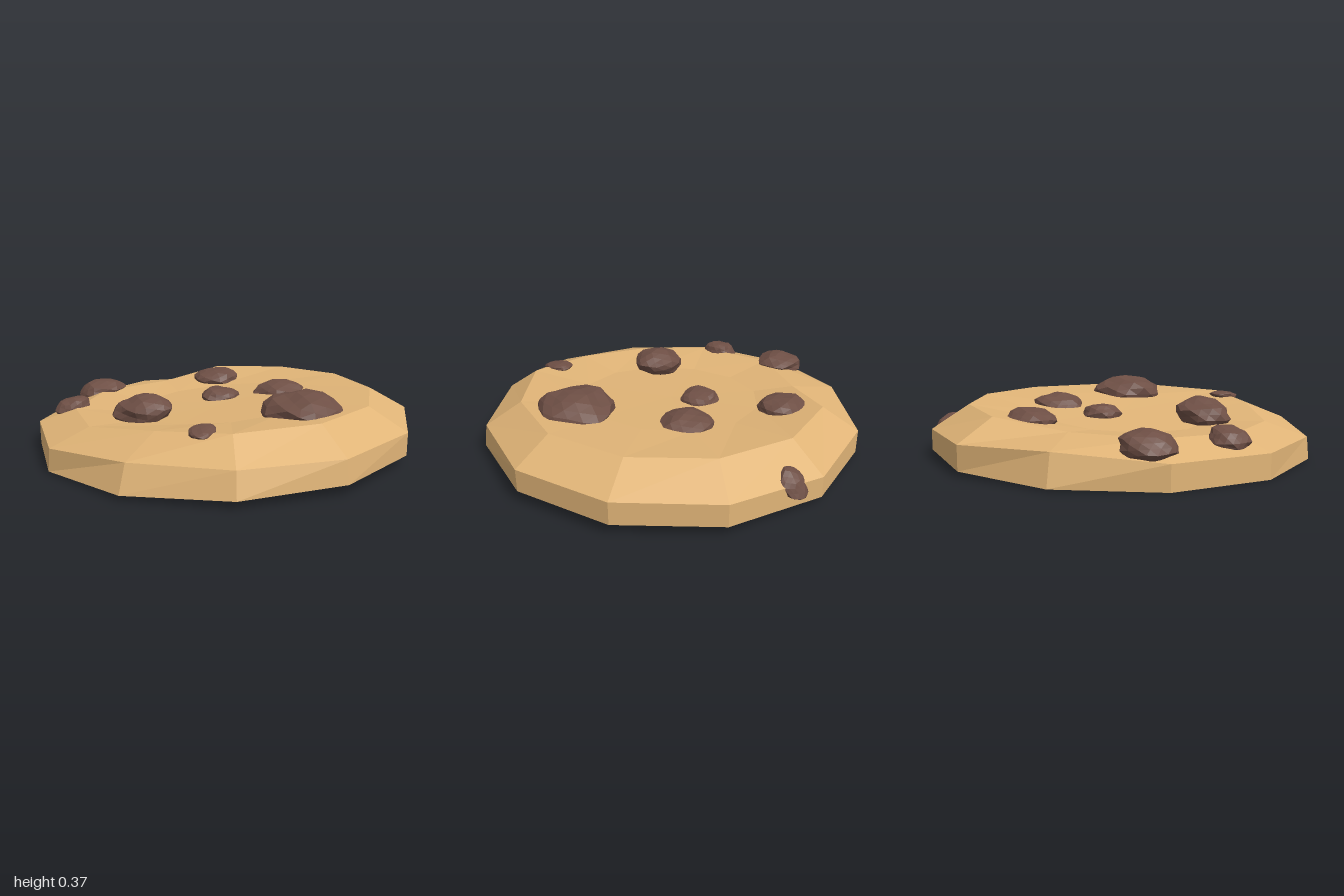
import * as THREE from 'three';

const SIDES = 12;
const doughMaterial = new THREE.MeshStandardMaterial({ color: 0xe0b477, flatShading: true });
const chipMaterial = new THREE.MeshStandardMaterial({ color: 0x6e4f45, flatShading: true });

// Corners run from the left-front side (15 degrees) round the front, right and back.
// [x, y, z] of the raised rim
const RIM = [
  [0.8, 0.295, 0.22], [0.59, 0.29, 0.58], [0.21, 0.28, 0.8], [-0.18, 0.25, 0.73],
  [-0.58, 0.2, 0.56], [-0.8, 0.195, 0.22], [-0.8, 0.2, -0.22], [-0.5, 0.21, -0.53],
  [-0.22, 0.265, -0.81], [0.21, 0.28, -0.81], [0.58, 0.29, -0.6], [0.8, 0.295, -0.22],
];
// Height and inward scale of the shoulder below the rim
const SHOULDER_Y = [0.18, 0.17, 0.165, 0.16, 0.125, 0.125, 0.125, 0.165, 0.15, 0.15, 0.17, 0.18];
const SHOULDER_SCALE = [1, 0.985, 0.96, 0.945, 0.99, 1, 1, 0.96, 1, 1, 1, 1];

function createDough() {
  const ring = (fn) => Array.from({ length: SIDES }, (_, i) => {
    const a = ((i + 0.5) / SIDES) * Math.PI * 2;
    return fn(Math.cos(a) * 1.035, Math.sin(a) * 1.035, i);
  });
  const rings = [
    ring((x, z) => [x, 0.03 + 0.03 * x, z]),
    ring((x, z, i) => [x * SHOULDER_SCALE[i], SHOULDER_Y[i], z * SHOULDER_SCALE[i]]),
    RIM,
    // Shallow dip inside the rim
    ring((x, z) => [x * 0.5, 0.225 + 0.05 * x, z * 0.47]),
  ];
  const positions = [];
  const tri = (...corners) => corners.forEach((c) => positions.push(...c));
  for (let i = 0; i < SIDES; i++) {
    const j = (i + 1) % SIDES;
    for (let r = 0; r < rings.length - 1; r++) {
      const low = rings[r], high = rings[r + 1];
      tri(low[i], high[i], low[j]);
      tri(low[j], high[i], high[j]);
    }
    tri([0, 0.22, 0], rings[3][j], rings[3][i]);
    tri([0, 0.03, 0], rings[0][i], rings[0][j]);
  }
  const geometry = new THREE.BufferGeometry();
  geometry.setAttribute('position', new THREE.Float32BufferAttribute(positions, 3));
  geometry.computeVertexNormals();
  const dough = new THREE.Mesh(geometry, doughMaterial);
  dough.name = 'dough';
  return dough;
}

// Lumpy pebble: a faceted ball pushed in and out by a smooth wave
function createChip([x, y, z, rx, ry, rz, tiltX, tiltZ], index) {
  const geometry = new THREE.IcosahedronGeometry(1, 2);
  const p = geometry.attributes.position;
  const v = new THREE.Vector3();
  for (let i = 0; i < p.count; i++) {
    v.fromBufferAttribute(p, i);
    const s = index * 1.7;
    const bump = 0.05 * Math.sin(5 * v.x + s) + 0.05 * Math.sin(6 * v.z - s + 3 * v.y)
      + 0.04 * Math.sin(9 * v.y + 7 * v.x + s);
    v.multiplyScalar(0.98 + bump);
    p.setXYZ(i, v.x * rx, v.y * ry, v.z * rz);
  }
  geometry.computeVertexNormals();
  const chip = new THREE.Mesh(geometry, chipMaterial);
  chip.name = `chip${index + 1}`;
  chip.position.set(x, y, z);
  chip.rotation.set(tiltX, 0, tiltZ);
  return chip;
}

export function createModel() {
  const group = new THREE.Group();
  group.name = 'cookie';
  group.add(createDough());

  // Centre, radii, tilt about x and z
  const chips = [
    [0.48, 0.27, 0.3, 0.21, 0.105, 0.21, 0, 0],
    [0.28, 0.235, -0.26, 0.165, 0.075, 0.15, 0, 0.05],
    [-0.06, 0.22, -0.15, 0.115, 0.055, 0.105, 0, 0],
    [-0.18, 0.225, -0.6, 0.145, 0.07, 0.13, 0, 0.05],
    [-0.37, 0.235, 0.31, 0.165, 0.085, 0.14, 0, 0.15],
    [-0.85, 0.185, -0.3, 0.145, 0.07, 0.14, 0, 0.15],
    [-0.86, 0.18, 0.13, 0.1, 0.06, 0.1, 0, 0.3],
    [0.06, 0.268, 0.75, 0.065, 0.025, 0.09, 0.1, 0],
    [0.38, 0.145, -0.89, 0.09, 0.05, 0.09, -0.85, 0],
  ];
  chips.forEach((chip, i) => group.add(createChip(chip, i)));
  return group;
}
